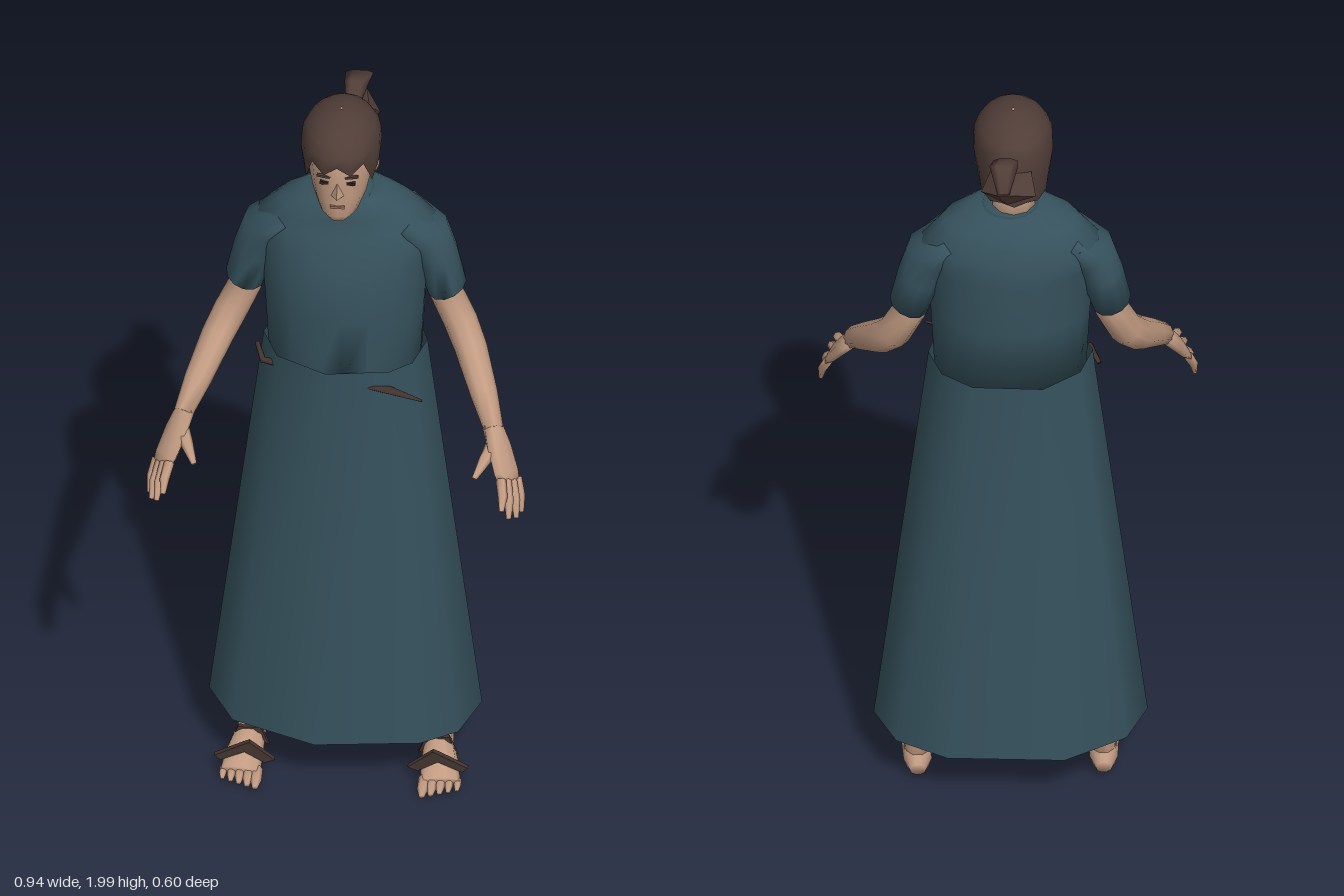
import * as THREE from 'three';
import { ConvexGeometry } from 'three/addons/geometries/ConvexGeometry.js';

const V = (x, y, z) => new THREE.Vector3(x, y, z);
const mat = (name, color) => {
  const m = new THREE.MeshStandardMaterial({ color });
  m.name = name;
  return m;
};

// Skin stretched over a stack of rings with equal point counts
function loft(rings, caps = true) {
  const n = rings[0].length, pos = [], idx = [];
  rings.forEach(r => r.forEach(p => pos.push(p.x, p.y, p.z)));
  for (let i = 0; i < rings.length - 1; i++) {
    for (let j = 0; j < n; j++) {
      const k = (j + 1) % n, a = i * n + j, b = i * n + k;
      idx.push(a, b, b + n, a, b + n, a + n);
    }
  }
  if (caps) {
    const last = (rings.length - 1) * n;
    for (let j = 1; j < n - 1; j++) idx.push(0, j + 1, j, last, last + j, last + j + 1);
  }
  const g = new THREE.BufferGeometry();
  g.setAttribute('position', new THREE.Float32BufferAttribute(pos, 3));
  g.setIndex(idx);
  g.computeVertexNormals();
  return g;
}

// Horizontal rings given as [y, half width, front z, back z]
const stack = (rows, sides, cx = 0) => loft(rows.map(([y, hx, f, b]) =>
  Array.from({ length: sides }, (_, j) => {
    const a = j / sides * Math.PI * 2;
    return V(cx + hx * Math.sin(a), y, (f + b) / 2 + (f - b) / 2 * Math.cos(a));
  })));

// Tapered limb through [x, y, z, ra, rb]; ra lies along the hint direction
function limb(pts, sides, hint) {
  const c = pts.map(p => V(p[0], p[1], p[2]));
  return loft(pts.map((p, i) => {
    const t = c[Math.min(i + 1, c.length - 1)].clone().sub(c[Math.max(i - 1, 0)]).normalize();
    const u = hint.clone().addScaledVector(t, -hint.dot(t)).normalize();
    const v = t.clone().cross(u);
    return Array.from({ length: sides }, (_, j) => {
      const a = j / sides * Math.PI * 2;
      return c[i].clone().addScaledVector(u, p[3] * Math.cos(a)).addScaledVector(v, p[4] * Math.sin(a));
    });
  }));
}

export function createModel() {
  const root = new THREE.Group();
  const cloth = mat('teal cloth', 0x36525d), skin = mat('skin', 0xc29b82);
  const hair = mat('brown hair', 0x503d37), leather = mat('dark leather', 0x43342f);
  const dark = mat('eye dark', 0x2a2120), lip = mat('lips', 0x9c7060);
  cloth.side = hair.side = THREE.DoubleSide;
  const add = (name, geo, m, parent = root) => {
    const mesh = new THREE.Mesh(geo, m);
    mesh.name = name;
    parent.add(mesh);
    return mesh;
  };
  const box = (name, m, w, h, d, x, y, z, rz = 0) => {
    const b = add(name, new THREE.BoxGeometry(w, h, d), m);
    b.position.set(x, y, z);
    b.rotation.z = rz;
  };

  // Long open skirt
  const hem = [[-0.06, 0.125], [0.2, 0.095], [0.29, 0.04], [0.338, -0.09], [0.285, -0.21],
    [0.16, -0.285], [-0.13, -0.3], [-0.285, -0.21], [-0.34, -0.09], [-0.27, 0.04]];
  add('skirt', loft([
    hem.map(([x, z]) => V(x, 0.16, z)),
    hem.map(([x, z]) => V(x * 0.6, 1.275, -0.085 + (z + 0.0875) * 0.77)),
  ], false), cloth);

  // Tunic body with overhanging chest and collar
  add('tunic', stack([
    [1.23, 0.19, 0.06, -0.215], [1.42, 0.2, 0.066, -0.225], [1.575, 0.212, 0.064, -0.235],
    [1.645, 0.222, 0.012, -0.225], [1.7, 0.165, 0.015, -0.2], [1.738, 0.1, -0.01, -0.17],
  ], 18), cloth);
  add('collar', stack([[1.72, 0.085, 0.0, -0.165], [1.745, 0.066, -0.02, -0.16]], 12), cloth);

  // Neck and head
  const cx = -0.008;
  add('neck', stack([[1.7, 0.056, -0.03, -0.155], [1.8, 0.054, -0.025, -0.15]], 10, cx), skin);
  add('head', stack([
    [1.73, 0.026, 0.052, -0.01], [1.75, 0.048, 0.062, -0.05], [1.79, 0.068, 0.064, -0.12],
    [1.83, 0.077, 0.065, -0.145], [1.88, 0.083, 0.066, -0.165], [1.94, 0.075, 0.055, -0.165],
  ], 14, cx), skin);
  add('nose', new ConvexGeometry([V(cx, 1.865, 0.06), V(cx - 0.017, 1.815, 0.058),
    V(cx + 0.017, 1.815, 0.058), V(cx, 1.82, 0.088), V(cx, 1.806, 0.06)]), skin);
  box('mouth', lip, 0.036, 0.007, 0.008, cx, 1.782, 0.062);
  for (const s of [-1, 1]) {
    box('eye', dark, 0.022, 0.008, 0.008, cx + s * 0.033, 1.852, 0.056);
    box('eyebrow', hair, 0.034, 0.006, 0.008, cx + s * 0.035, 1.872, 0.057, s * 0.2);
    const ear = add('ear', new THREE.SphereGeometry(1, 8, 6), skin);
    ear.scale.set(0.012, 0.03, 0.02);
    ear.position.set(cx + s * 0.083, 1.845, -0.055);
  }

  // Hair cap whose lower edge drops at the sideburns and nape
  const edge = [1.915, 1.885, 1.91, 1.835, 1.865, 1.87, 1.8, 1.79, 1.8, 1.79];
  const n = 18;
  const hairRing = f => Array.from({ length: n }, (_, j) => {
    const a = j / n * Math.PI * 2;
    const [y, k] = f(edge[Math.min(j, n - j)]);
    return V(cx + 0.1 * k * Math.sin(a), y, -0.055 + 0.138 * k * Math.cos(a));
  });
  add('hair', loft([
    hairRing(e => [e, 0.92 + (e - 1.79) * 0.6]),
    hairRing(e => [(e + 1.93) / 2, 1]),
    ...[[1.935, 0.98], [1.96, 0.84], [1.982, 0.62], [1.996, 0.32], [2, 0.03]].map(r => hairRing(() => r)),
  ], false), hair);

  // Tied bun and loose loop
  const bun = add('bun', new ConvexGeometry([V(-0.05, 1.9, -0.18), V(0.05, 1.91, -0.185),
    V(-0.06, 1.88, -0.255), V(0.035, 1.9, -0.278), V(0.075, 1.87, -0.22),
    V(0, 1.825, -0.19), V(0.01, 1.84, -0.235)]), hair);
  bun.geometry.computeVertexNormals();
  add('hairLoop', limb([[0.01, 1.925, -0.185, 0.02, 0.006], [0.015, 1.962, -0.215, 0.03, 0.006],
    [0.02, 1.968, -0.25, 0.035, 0.006], [0.02, 1.9, -0.272, 0.015, 0.006]], 6, V(1, 0, 0)), hair);

  for (const s of [-1, 1]) {
    const side = new THREE.Group();
    side.name = s > 0 ? 'leftLimbs' : 'rightLimbs';
    root.add(side);
    const tube = (name, pts, sides, hint, m = skin) =>
      add(name, limb(pts.map(p => [p[0] * s, ...p.slice(1)]), sides, V(hint[0] * s, hint[1], hint[2])), m, side);

    // Sleeve, arm and hand
    tube('sleeve', [[0.15, 1.655, -0.1, 0.09, 0.03], [0.2, 1.595, -0.1, 0.078, 0.06],
      [0.225, 1.53, -0.1, 0.07, 0.055], [0.25, 1.44, -0.1, 0.067, 0.05]], 12, [0, 0, 1], cloth);
    tube('arm', [[0.225, 1.52, -0.1, 0.05, 0.042], [0.247, 1.42, -0.1, 0.05, 0.04],
      [0.285, 1.34, -0.085, 0.046, 0.042], [0.315, 1.29, -0.04, 0.045, 0.04],
      [0.355, 1.22, 0.05, 0.036, 0.034], [0.385, 1.165, 0.12, 0.029, 0.024]], 10, [0, 0, 1]);
    tube('palm', [[0.38, 1.172, 0.11, 0.028, 0.022], [0.4, 1.13, 0.145, 0.042, 0.02],
      [0.422, 1.08, 0.182, 0.046, 0.016], [0.43, 1.062, 0.195, 0.042, 0.012]], 8, [-0.5, 0.25, 0.7]);
    const fingers = [[0.412, 1.08, 0.218, 0.42, 1.04, 0.293], [0.424, 1.07, 0.204, 0.437, 1.012, 0.285],
      [0.436, 1.06, 0.187, 0.453, 0.99, 0.25], [0.446, 1.055, 0.168, 0.462, 0.978, 0.205]];
    for (const [x, y, z, tx, ty, tz] of fingers) {
      tube('finger', [[x, y, z, 0.013, 0.013], [(x + tx) / 2 + 0.004, (y + ty) / 2, (z + tz) / 2 + 0.005, 0.012, 0.012],
        [tx, ty, tz, 0.006, 0.006]], 6, [1, 0, 0]);
    }
    tube('thumb', [[0.39, 1.14, 0.14, 0.02, 0.016], [0.37, 1.12, 0.19, 0.016, 0.014],
      [0.348, 1.098, 0.24, 0.007, 0.007]], 6, [1, 0, 0]);

    // Leg, foot and toes
    tube('leg', [[0.23, 0.05, -0.115, 0.034, 0.045], [0.23, 0.12, -0.117, 0.031, 0.046],
      [0.215, 0.3, -0.11, 0.045, 0.055], [0.18, 0.55, -0.1, 0.055, 0.06]], 10, [1, 0, 0]);
    tube('foot', [[0.23, 0.04, -0.172, 0.02, 0.022], [0.23, 0.05, -0.14, 0.035, 0.04],
      [0.233, 0.055, -0.06, 0.037, 0.045], [0.243, 0.042, 0.02, 0.047, 0.031],
      [0.248, 0.028, 0.075, 0.05, 0.018]], 10, [1, 0, 0]);
    for (let i = 0; i < 5; i++) {
      const x = 0.207 + i * 0.021, r = 0.014 - i * 0.0012;
      tube('toe', [[x, 0.027, 0.06, r, r], [x, 0.022, 0.1 - i * 0.006, r, r],
        [x, 0.017, 0.125 - i * 0.008, r * 0.5, r * 0.5]], 6, [1, 0, 0]);
    }

    // Sandal straps arching over the foot
    const strap = (pts, z, d) => {
      const shape = new THREE.Shape(pts.map(([x, y]) => new THREE.Vector2(x * s, y)));
      add('sandalStrap', new THREE.ExtrudeGeometry(shape, { depth: d, bevelEnabled: false }).translate(0, 0, z), leather, side);
    };
    strap([[0.165, 0.05], [0.228, 0.1], [0.245, 0.092], [0.315, 0.055], [0.3, 0.042], [0.24, 0.07], [0.19, 0.04]], 0.036, 0.014);
    strap([[0.185, 0.04], [0.205, 0.092], [0.262, 0.092], [0.283, 0.04], [0.26, 0.055], [0.205, 0.055]], -0.036, 0.012);
  }

  // Thin pin tucked through the waist
  add('waistPin', limb([[-0.22, 1.235, -0.09, 0.006, 0.004], [-0.2, 1.235, -0.02, 0.012, 0.006],
    [0.12, 1.226, 0.065, 0.016, 0.008], [0.205, 1.224, 0.1, 0.003, 0.003]], 6, V(0, 0, 1)), leather);

  return root;
}
